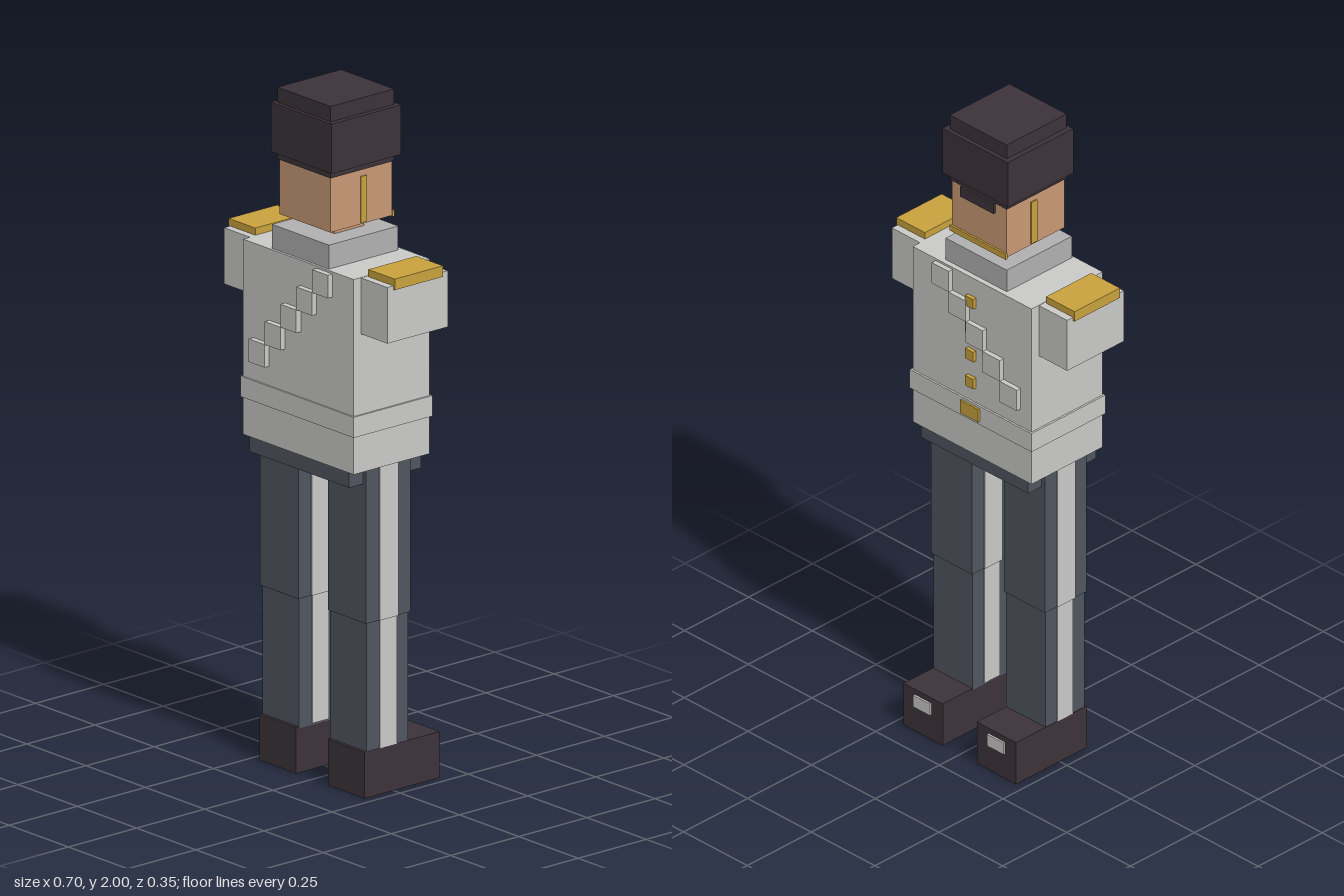
import * as THREE from 'three';

const mat = (name, color) => {
  const m = new THREE.MeshStandardMaterial({ color });
  m.name = name;
  return m;
};

export function createModel() {
  const root = new THREE.Group();
  root.name = 'uniformedFigure';
  const dark = mat('dark hat and shoe', 0x3c3339);
  const cloth = mat('light jacket', 0xc9c9c7);
  const collarGrey = mat('collar grey', 0xb0b0b0);
  const skin = mat('skin', 0xc89874);
  const trouser = mat('trouser blue grey', 0x50565f);
  const gold = mat('gold', 0xc8a23e);

  // Box given by its extents on each axis
  const box = (name, m, [x0, x1], [y0, y1], [z0, z1], parent = root) => {
    const mesh = new THREE.Mesh(new THREE.BoxGeometry(x1 - x0, y1 - y0, z1 - z0), m);
    mesh.position.set((x0 + x1) / 2, (y0 + y1) / 2, (z0 + z1) / 2);
    mesh.name = name;
    parent.add(mesh);
  };
  const sym = (w) => [-w, w];

  // Hat: tall inner crown with a wider band around it, and a small peak
  box('hatCrown', dark, sym(0.112), [1.79, 2.0], [-0.098, 0.135]);
  box('hatBand', dark, sym(0.128), [1.81, 1.955], [-0.11, 0.146]);
  box('hatPeak', dark, sym(0.065), [1.758, 1.79], [-0.104, -0.09]);

  // Head and neck
  box('head', skin, sym(0.107), [1.63, 1.79], [-0.095, 0.132]);
  box('neck', skin, sym(0.055), [1.58, 1.63], [-0.037, 0.072]);
  box('collar', collarGrey, sym(0.12), [1.53, 1.6], [-0.106, 0.148]);

  // Chin strap
  box('chinStrap', gold, sym(0.11), [1.627, 1.645], [-0.101, -0.094]);

  // Jacket, belt and hips
  box('jacket', cloth, sym(0.233), [0.96, 1.53], [-0.122, 0.156]);
  box('belt', cloth, sym(0.239), [1.07, 1.13], [-0.128, 0.161]);
  box('hips', trouser, sym(0.21), [0.915, 0.962], [-0.112, 0.153]);

  // Stepped diagonal sash, front and back
  const step = 0.0667;
  for (let i = 0; i < 5; i++) {
    const x = [-0.19 + i * step, -0.19 + (i + 1) * step];
    const y = [1.186 + i * 0.0675, 1.186 + (i + 1) * 0.0675];
    box('sashSquare', cloth, x, y, [0.155, 0.173]);
    box('sashSquare', cloth, x, y, [-0.137, -0.121]);
  }

  // Buttons and buckle
  for (const y of [1.195, 1.283, 1.37, 1.455]) {
    box('button', gold, sym(0.016), [y - 0.016, y + 0.016], [-0.134, -0.121]);
  }
  box('buckle', gold, sym(0.036), [1.08, 1.122], [-0.134, -0.127]);

  // Paired parts, mirrored across x
  for (const s of [1, -1]) {
    const side = s > 0 ? 'left' : 'right';
    const span = (a, b) => (s > 0 ? [a, b] : [-b, -a]);
    const arm = new THREE.Group();
    arm.name = side + 'Arm';
    const leg = new THREE.Group();
    leg.name = side + 'Leg';
    root.add(arm, leg);

    box('sideStrap', gold, span(0.105, 0.111), [1.635, 1.77], [0, 0.022]);

    box('sleeve', cloth, span(0.23, 0.344), [1.365, 1.529], [-0.093, 0.129], arm);
    box('epaulet', gold, span(0.238, 0.35), [1.518, 1.55], [-0.07, 0.107], arm);

    box('thigh', trouser, span(0.062, 0.224), [0.51, 0.959], [-0.06, 0.102], leg);
    box('shin', trouser, span(0.066, 0.22), [0.13, 0.51], [-0.055, 0.097], leg);
    // Stripes run down both sides of each leg
    box('thighStripe', cloth, span(0.059, 0.227), [0.51, 0.958], [-0.014, 0.055], leg);
    box('shinStripe', cloth, span(0.063, 0.223), [0.135, 0.51], [-0.011, 0.05], leg);
    box('shoe', dark, span(0.067, 0.221), [0, 0.135], [-0.17, 0.106], leg);
    box('toePatch', cloth, span(0.112, 0.178), [0.08, 0.118], [-0.176, -0.169], leg);
  }
  return root;
}
